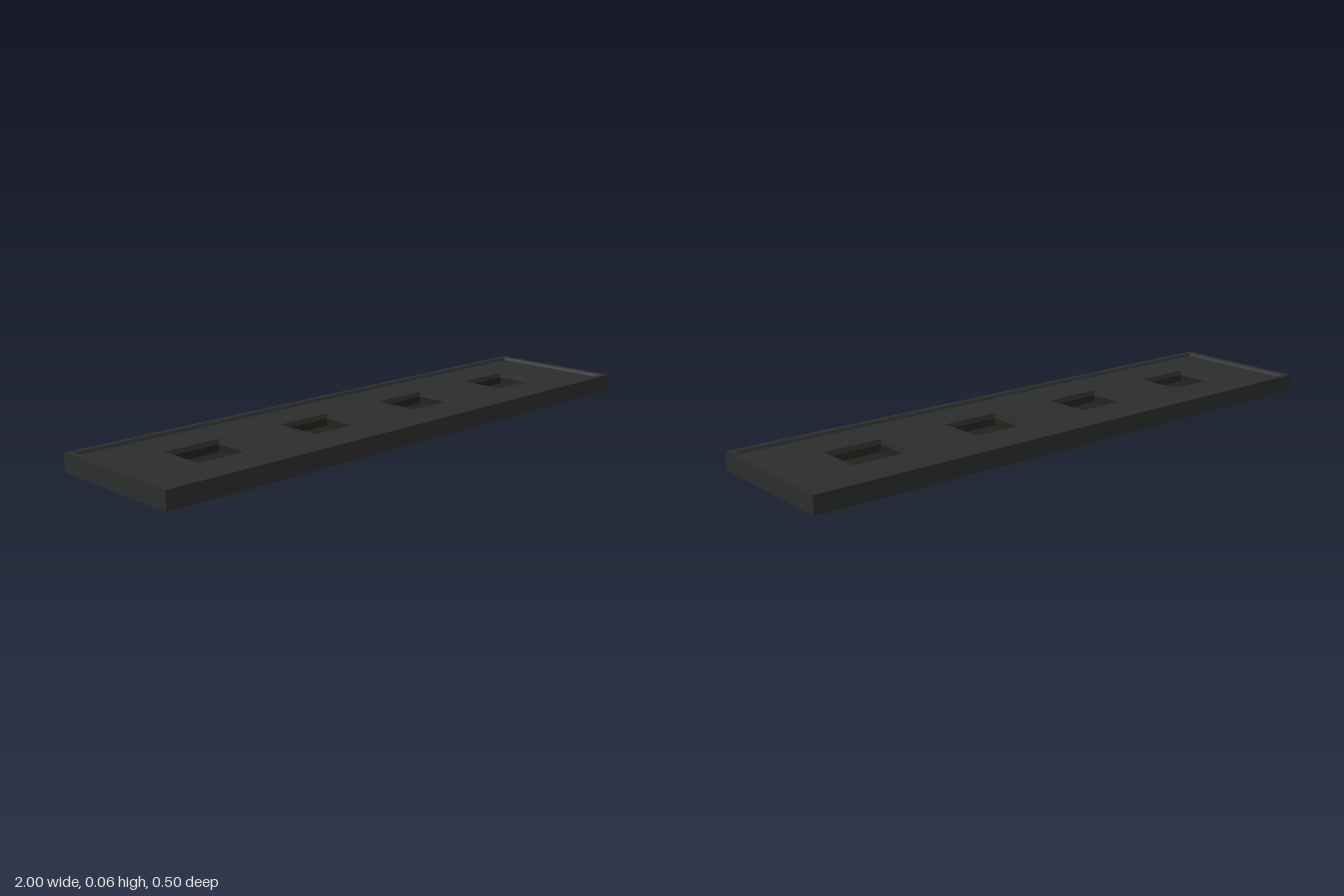
import * as THREE from 'three';

const CORNERS = [[1, 1], [1, -1], [-1, -1], [-1, 1]];

// Joins a run of rectangular rings [width, depth, y] with flat faces
function loftRects(rings) {
  const points = [];
  const corner = ([w, d, y], i) => {
    const [sx, sz] = CORNERS[i % 4];
    return [sx * w / 2, y, sz * d / 2];
  };
  for (let r = 0; r < rings.length - 1; r++) {
    for (let i = 0; i < 4; i++) {
      const a = corner(rings[r], i), b = corner(rings[r], i + 1);
      const c = corner(rings[r + 1], i + 1), d = corner(rings[r + 1], i);
      points.push(...a, ...b, ...c, ...a, ...c, ...d);
    }
  }
  const geometry = new THREE.BufferGeometry();
  geometry.setAttribute('position', new THREE.Float32BufferAttribute(points, 3));
  geometry.computeVertexNormals();
  return geometry;
}

function rectPath(path, cx, w, d) {
  path.moveTo(cx - w / 2, -d / 2);
  path.lineTo(cx + w / 2, -d / 2);
  path.lineTo(cx + w / 2, d / 2);
  path.lineTo(cx - w / 2, d / 2);
  path.closePath();
  return path;
}

export function createModel() {
  const group = new THREE.Group();
  const dark = new THREE.MeshStandardMaterial({ color: 0x2c2e2d });
  const darker = new THREE.MeshStandardMaterial({ color: 0x20221e });
  const add = (name, geometry, material) => {
    const mesh = new THREE.Mesh(geometry, material);
    mesh.name = name;
    group.add(mesh);
    return mesh;
  };

  const panelY = 0.05;
  const panelW = 1.95, panelD = 0.45;
  const pocketW = 0.205, pocketD = 0.165;
  const pocketX = [-0.668, -0.223, 0.223, 0.668];

  // Underside, outer walls and raised rim with a sloped inner lip
  add('baseAndRim', loftRects([
    [0, 0, 0], [2, 0.5, 0], [2, 0.5, 0.06],
    [1.96, 0.46, 0.06], [panelW, panelD, panelY],
  ]), dark);

  // Recessed top panel with four openings
  const panel = rectPath(new THREE.Shape(), 0, panelW, panelD);
  for (const x of pocketX) panel.holes.push(rectPath(new THREE.Path(), x, pocketW, pocketD));
  add('topPanel', new THREE.ShapeGeometry(panel).rotateX(-Math.PI / 2).translate(0, panelY, 0), dark);

  // Pockets: bevelled mouth, steep walls and flat floor
  const pocket = loftRects([
    [pocketW, pocketD, panelY], [0.175, 0.135, 0.038],
    [0.17, 0.13, 0.015], [0, 0, 0.015],
  ]);
  for (const x of pocketX) add('pocket', pocket, darker).position.x = x;

  return group;
}
